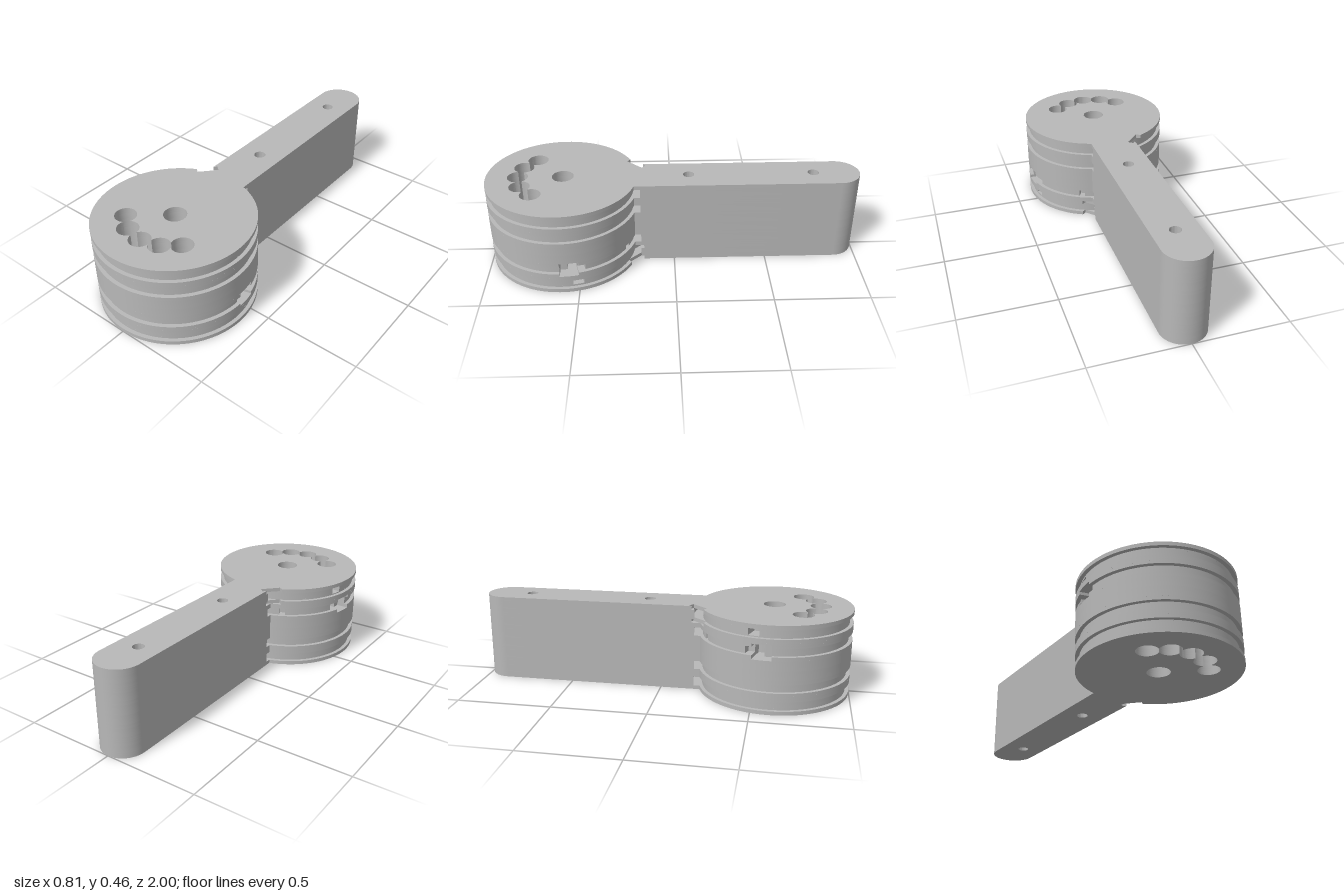
import * as THREE from 'three';
import { toCreasedNormals } from 'three/addons/utils/BufferGeometryUtils.js';

const H = 0.462, ZC = 0.597;         // total height, drum centre
const R = 0.403, RG = 0.383, RC = 0.434; // drum, groove floor, groove clearance in the arm
const W = 0.12;                      // half width of the arm
const PI = Math.PI, DEG = PI / 180;

// Point at angle a round (x, z), a = 0 facing the front; shapes hold (x, -z)
const polar = (x, z, r, a) => new THREE.Vector2(x + r * Math.sin(a), -(z + r * Math.cos(a)));
const pt = (x, z) => new THREE.Vector2(x, -z);

function arc(x, z, r, a0, a1, step = 0.06) {
  const n = Math.max(1, Math.ceil(Math.abs(a1 - a0) / step));
  return Array.from({ length: n + 1 }, (_, i) => polar(x, z, r, a0 + (a1 - a0) * i / n));
}

// Drum edge with pockets given as [startAngle, endAngle, floorRadius]
function drumEdge(r, a0, a1, pockets) {
  const pts = [];
  let a = a0;
  for (const [p0, p1, pr] of pockets) {
    if (p0 > a) pts.push(...arc(0, ZC, r, a, p0));
    pts.push(...arc(0, ZC, pr, p0, p1));
    a = p1;
  }
  return pts.concat(arc(0, ZC, r, a, a1));
}

const roundHole = (z, r) => new THREE.Path(arc(0, z, r, 0, 2 * PI, 0.2).slice(0, -1));

// Five overlapping bores merged into one scalloped slot
function scallopedSlot() {
  const ring = 0.233, r = 0.055, s = 26 * DEG;
  const cut = Math.acos(ring * Math.sin(s / 2) / r);
  const near = PI / 2 + s / 2 - cut, far = PI / 2 + s / 2 + cut;
  const pts = [];
  const bore = (k, from, to) => {
    const t = (k - 2) * s;
    const c = polar(0, ZC, ring, t);
    pts.push(...arc(c.x, -c.y, r, t + from, t + to, 0.2).slice(0, -1));
  };
  bore(0, far, 2 * PI + near);
  for (const k of [1, 2, 3]) bore(k, -near, near);
  bore(4, -near, 2 * PI - far);
  for (const k of [3, 2, 1]) bore(k, far, 2 * PI - far);
  return new THREE.Path(pts);
}

const drumHoles = () => [roundHole(0.59, 0.058), scallopedSlot()];
const armHoles = () => [roundHole(-0.08, 0.03), roundHole(-0.75, 0.03)];
const armTip = () => arc(0, -1 + W, W, PI / 2, 3 * PI / 2, 0.1);

// Drum and arm in one piece, optionally with the slanted corner recess
function fullShape(pockets, corner) {
  const end = PI - Math.asin(W / R);
  const pts = drumEdge(R, -end, corner ? 2.69 : end, pockets);
  if (corner) pts.push(pt(0.155, 0.25), pt(0.08, 0.17), pt(0.105, 0.15), pt(W, 0.165));
  const shape = new THREE.Shape(pts.concat(armTip()));
  shape.holes.push(...drumHoles(), ...armHoles());
  return shape;
}

function grooveDrumShape(pockets) {
  const shape = new THREE.Shape(drumEdge(RG, -PI, PI, pockets).slice(0, -1));
  shape.holes.push(...drumHoles());
  return shape;
}

// Arm with a hollowed inner end where the groove passes
function grooveArmShape() {
  const a = Math.asin(W / RC);
  const shape = new THREE.Shape(arc(0, ZC, RC, PI + a, PI - a).concat(armTip()));
  shape.holes.push(...armHoles());
  return shape;
}

function slab(shape, y0, y1, name, material) {
  const g = new THREE.ExtrudeGeometry(shape, { depth: y1 - y0, bevelEnabled: false });
  g.rotateX(-PI / 2);
  g.translate(0, y0, 0);
  const mesh = new THREE.Mesh(toCreasedNormals(g, 0.4), material);
  mesh.name = name;
  return mesh;
}

export function createModel() {
  const grey = new THREE.MeshStandardMaterial({ color: 0xb8b8b8 });
  grey.name = 'grey';

  const cordHole = [1.74, 1.89, 0.3];
  const boltPocket = [[1.57, 1.68, 0.34], [1.68, 1.82, 0.28]];
  const deepPocket = [...boltPocket, [1.82, 1.92, 0.34], [2.64, 2.72, 0.35]];

  // Lower half, from the base upwards
  const layers = [
    { y: [0, 0.02], corner: true },
    { y: [0.02, 0.03], groove: true },
    { y: [0.03, 0.065], groove: true, pockets: [cordHole] },
    { y: [0.065, 0.07], groove: true },
    { y: [0.07, 0.09], corner: true },
    { y: [0.09, 0.1] },
    { y: [0.1, 0.115], pockets: boltPocket },
    { y: [0.115, 0.16], groove: true, pockets: deepPocket },
    { y: [0.16, 0.18], pockets: boltPocket },
    { y: [0.18, H / 2] },
  ];
  const lower = new THREE.Group();
  lower.name = 'lowerHalf';
  for (const { y, groove, corner, pockets = [] } of layers) {
    if (groove) {
      lower.add(slab(grooveDrumShape(pockets), ...y, 'drumGroove', grey));
      lower.add(slab(grooveArmShape(), ...y, 'armSection', grey));
    } else {
      lower.add(slab(fullShape(pockets, corner), ...y, 'drumAndArm', grey));
    }
  }

  // The upper half is the lower one turned over about the long axis
  const upper = lower.clone();
  upper.name = 'upperHalf';
  upper.rotation.z = PI;
  upper.position.y = H;

  const model = new THREE.Group();
  model.name = 'groovedDrumLever';
  model.add(lower, upper);
  return model;
}
